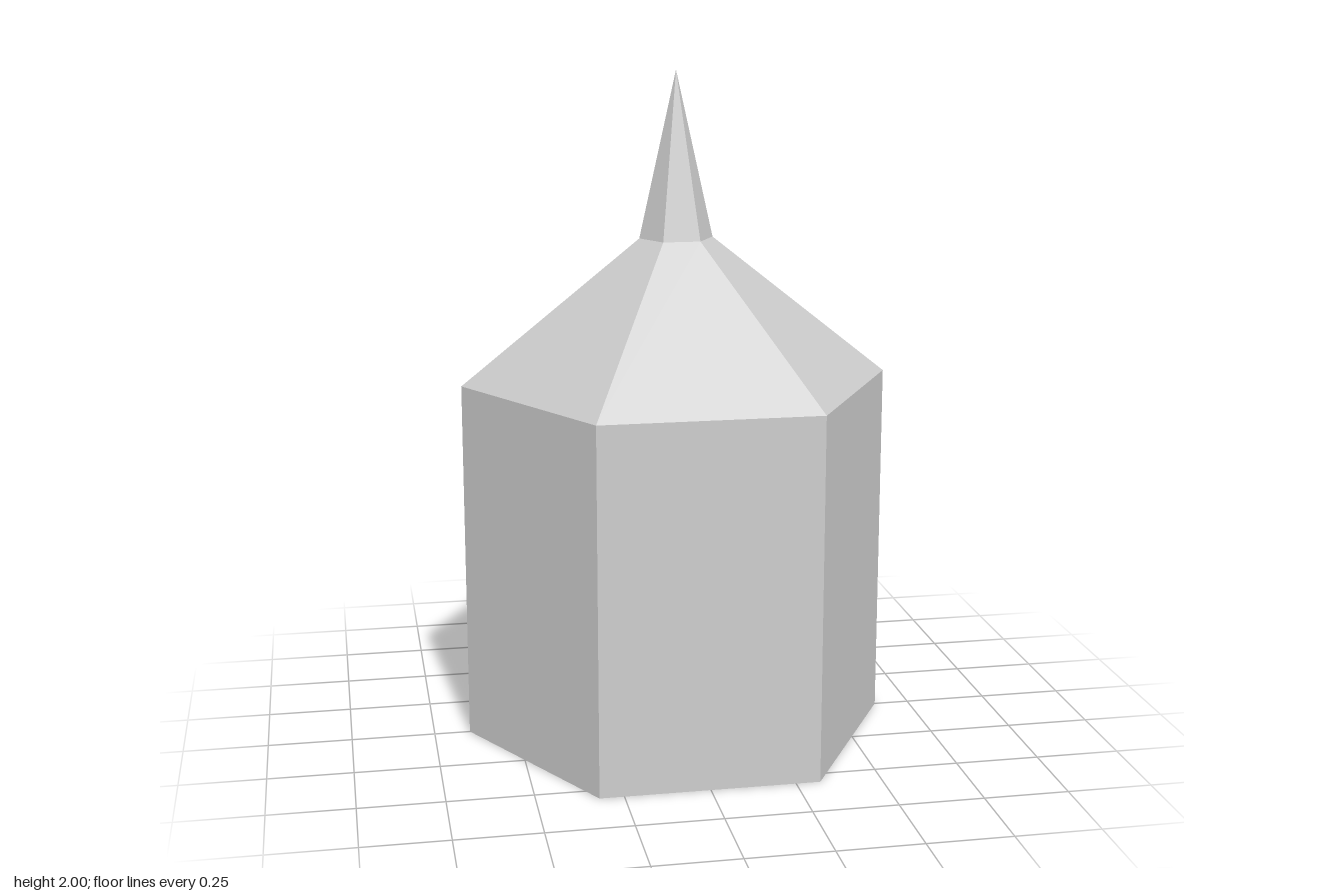
import * as THREE from 'three';

const stone = new THREE.MeshStandardMaterial({
  name: 'pale grey', color: 0xcccccc, flatShading: true, side: THREE.DoubleSide,
});

// Open six-sided ring with corners on the x axis, from height y0 to y1
function hexSection(name, rBottom, rTop, y0, y1) {
  const geometry = new THREE.CylinderGeometry(rTop, rBottom, y1 - y0, 6, 1, true, Math.PI / 6);
  geometry.translate(0, (y0 + y1) / 2, 0);
  const mesh = new THREE.Mesh(geometry, stone);
  mesh.name = name;
  return mesh;
}

export function createModel() {
  const tower = new THREE.Group();
  tower.name = 'hexagonalTower';
  tower.add(
    hexSection('walls', 0.643, 0.643, 0, 1.085), // hollow, open underneath
    hexSection('roof', 0.643, 0.11, 1.085, 1.51),
    hexSection('spire', 0.11, 0, 1.51, 2),
  );
  return tower;
}
